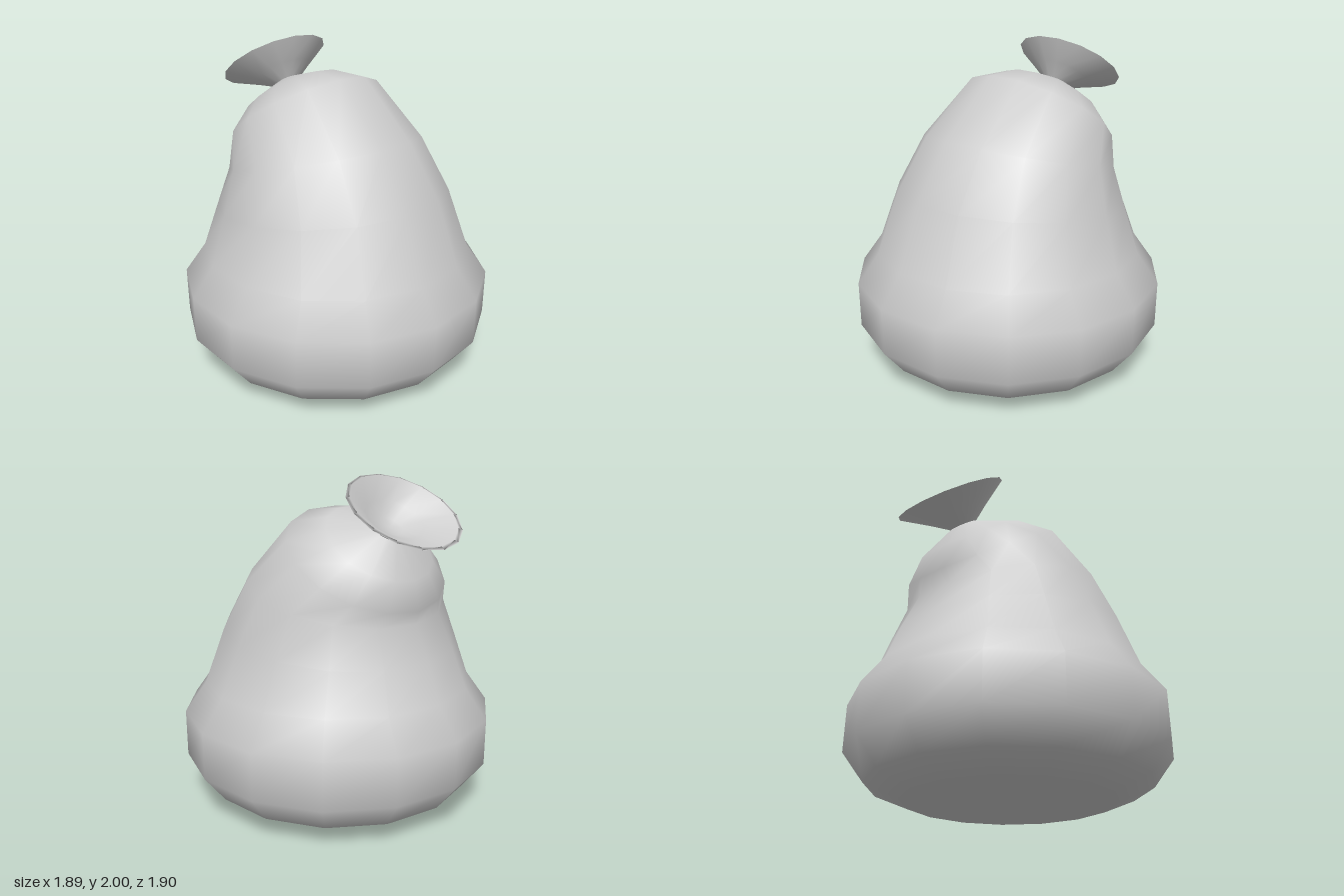
import * as THREE from 'three';

const SIDES = 15;
const CENTRE_X = -0.01;

// Skin through tilted rings: [front z, front y, back z, back y, half width in x].
function loft(name, rings, material) {
  const points = [], index = [];
  for (const [fz, fy, bz, by, rx] of rings) {
    for (let i = 0; i < SIDES; i++) {
      const a = (i / SIDES) * Math.PI * 2;
      const t = (Math.sin(a) + 1) / 2;
      points.push(CENTRE_X + rx * Math.cos(a), by + (fy - by) * t, bz + (fz - bz) * t);
    }
  }
  for (let r = 0; r < rings.length - 1; r++) {
    for (let i = 0; i < SIDES; i++) {
      const j = (i + 1) % SIDES;
      const a = r * SIDES + i, b = r * SIDES + j;
      index.push(a, a + SIDES, b, b, a + SIDES, b + SIDES);
    }
  }
  const geometry = new THREE.BufferGeometry();
  geometry.setAttribute('position', new THREE.Float32BufferAttribute(points, 3));
  geometry.setIndex(index);
  geometry.computeVertexNormals();
  const mesh = new THREE.Mesh(geometry, material);
  mesh.name = name;
  return mesh;
}

// Level circular ring
const level = (y, r) => [r, y, -r, y, r];

export function createModel() {
  const group = new THREE.Group();
  group.name = 'sackWithFunnel';
  const material = new THREE.MeshStandardMaterial({ color: 0xcccccc, side: THREE.DoubleSide });

  // Bulging sack whose rings lean back towards the neck
  group.add(loft('sack', [
    level(0, 0.002),
    level(0.012, 0.35),
    level(0.05, 0.62),
    level(0.135, 0.83),
    level(0.3, 0.955),
    level(0.58, 0.955),
    level(0.76, 0.825),
    [0.68, 1.14, -0.74, 0.98, 0.72],
    [0.46, 1.46, -0.64, 1.19, 0.62],
    [0.10, 1.80, -0.675, 1.27, 0.5],
    [-0.13, 1.815, -0.655, 1.44, 0.33],
    [-0.40, 1.745, -0.53, 1.65, 0.085],
  ], material));

  // Flared funnel: outer wall, thin lip, inner wall and rounded floor
  group.add(loft('funnel', [
    [-0.40, 1.745, -0.53, 1.65, 0.085],
    [-0.375, 1.85, -0.66, 1.645, 0.19],
    [-0.33, 2.0, -0.86, 1.63, 0.35],
    [-0.345, 1.995, -0.84, 1.645, 0.325],
    [-0.385, 1.86, -0.65, 1.67, 0.18],
    [-0.42, 1.765, -0.54, 1.68, 0.075],
    [-0.479, 1.722, -0.481, 1.72, 0.002],
  ], material));

  return group;
}
